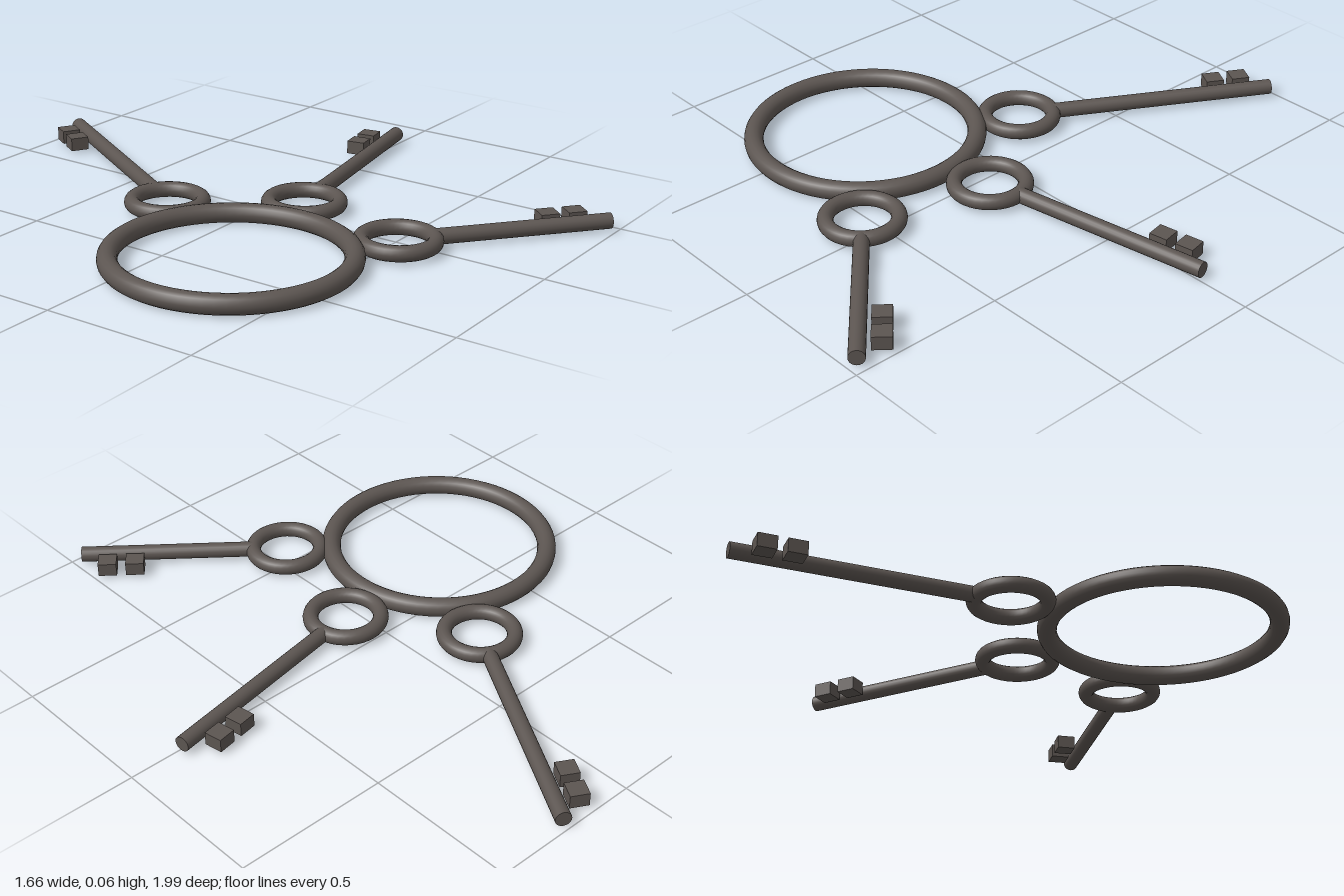
import * as THREE from 'three';

const iron = new THREE.MeshStandardMaterial({ color: 0x5c5551 });
iron.name = 'dark iron';

const MID = 0.031; // height of the centre plane

function part(name, geometry, parent, x = 0, z = 0) {
  const mesh = new THREE.Mesh(geometry, iron);
  mesh.name = name;
  mesh.position.set(x, 0, z);
  parent.add(mesh);
  return mesh;
}

// A torus lying flat
const flatTorus = (radius, tube, around) =>
  new THREE.TorusGeometry(radius, tube, 16, around).rotateX(Math.PI / 2);

// Key pointing along +x, with its bow centred on the origin
function makeKey(name, reach) {
  const key = new THREE.Group();
  key.name = name;
  const bowRadius = 0.112;
  part('bow', flatTorus(bowRadius, 0.025, 40), key);

  const length = reach - bowRadius;
  const shaft = new THREE.CylinderGeometry(0.025, 0.025, length, 20).rotateZ(-Math.PI / 2);
  part('shaft', shaft, key, bowRadius + length / 2);

  // Two bits beside the tip
  for (const back of [0.09, 0.18]) {
    part('bit', new THREE.BoxGeometry(0.06, 0.044, 0.06), key, reach - back, -0.067);
  }
  return key;
}

export function createModel() {
  const model = new THREE.Group();
  model.name = 'keyRing';

  // Large ring carrying the keys
  const hub = new THREE.Group();
  hub.name = 'ringAndKeys';
  hub.position.set(-0.44, MID, 0.21);
  model.add(hub);
  part('ring', flatTorus(0.361, 0.031, 72), hub);

  // Keys fan out from the ring: name, angle in degrees, reach from bow centre to tip
  const keys = [['longKey', 60, 0.87], ['middleKey', 10, 0.775], ['shortKey', -40, 0.682]];
  for (const [name, degrees, reach] of keys) {
    const angle = THREE.MathUtils.degToRad(degrees);
    const key = makeKey(name, reach);
    key.position.set(0.51 * Math.cos(angle), 0, -0.51 * Math.sin(angle));
    key.rotation.y = angle;
    hub.add(key);
  }
  return model;
}
